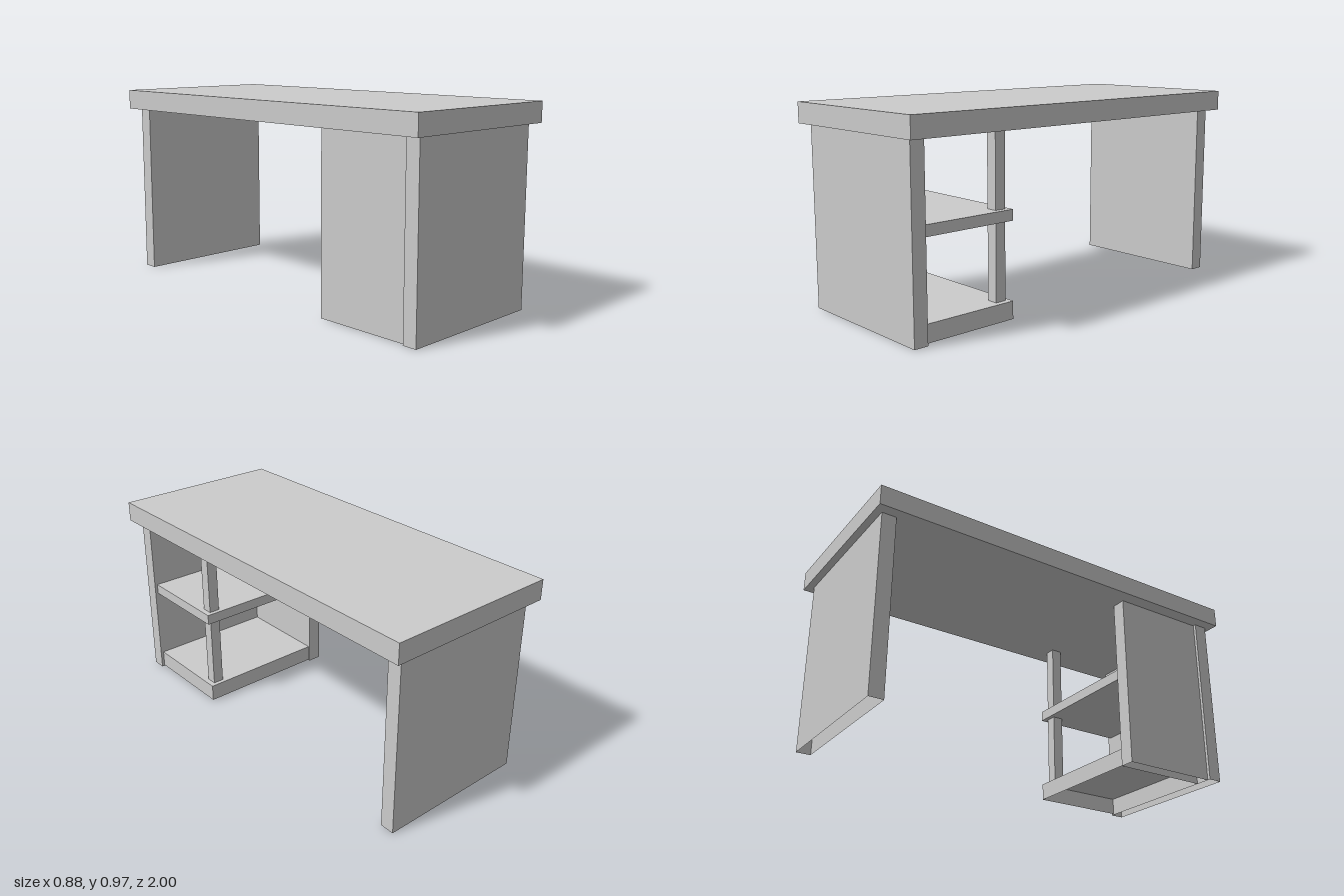
import * as THREE from 'three';

const material = new THREE.MeshStandardMaterial({ color: 0xcccccc, side: THREE.DoubleSide });

// Box given by its extents on each axis; hollow boxes have no underside
function addBoard(group, name, [x0, x1], [y0, y1], [z0, z1], hollow = false) {
  const geometry = new THREE.BoxGeometry(x1 - x0, y1 - y0, z1 - z0);
  if (hollow) {
    const index = Array.from(geometry.index.array);
    index.splice(18, 6); // bottom face
    geometry.setIndex(index);
    geometry.clearGroups();
  }
  const mesh = new THREE.Mesh(geometry, material);
  mesh.name = name;
  mesh.position.set((x0 + x1) / 2, (y0 + y1) / 2, (z0 + z1) / 2);
  group.add(mesh);
}

export function createModel() {
  const desk = new THREE.Group();
  desk.name = 'desk';
  const under = 0.873; // underside of the top

  // Top and the two end panels
  addBoard(desk, 'deskTop', [-0.438, 0.438], [under, 0.972], [-1, 1]);
  addBoard(desk, 'frontEndPanel', [-0.385, 0.385], [0, under], [0.897, 0.967], true);
  addBoard(desk, 'backEndPanel', [-0.385, 0.385], [0, under], [-0.965, -0.894], true);

  // Open shelf unit against the front end panel
  const unit = new THREE.Group();
  unit.name = 'shelfUnit';
  addBoard(unit, 'sidePanel', [-0.37, -0.297], [0, under], [0.403, 0.897], true);
  addBoard(unit, 'bottomShelf', [-0.297, 0.37], [0.005, 0.09], [0.41, 0.897], true);
  addBoard(unit, 'middleShelf', [-0.297, 0.37], [0.46, 0.512], [0.41, 0.897]);

  // Corner post, in two lengths between the shelves and the top
  for (const [name, y] of [['lowerPost', [0.09, 0.46]], ['upperPost', [0.512, under]]]) {
    addBoard(unit, name, [0.287, 0.342], y, [0.432, 0.487]);
  }
  desk.add(unit);

  return desk;
}
